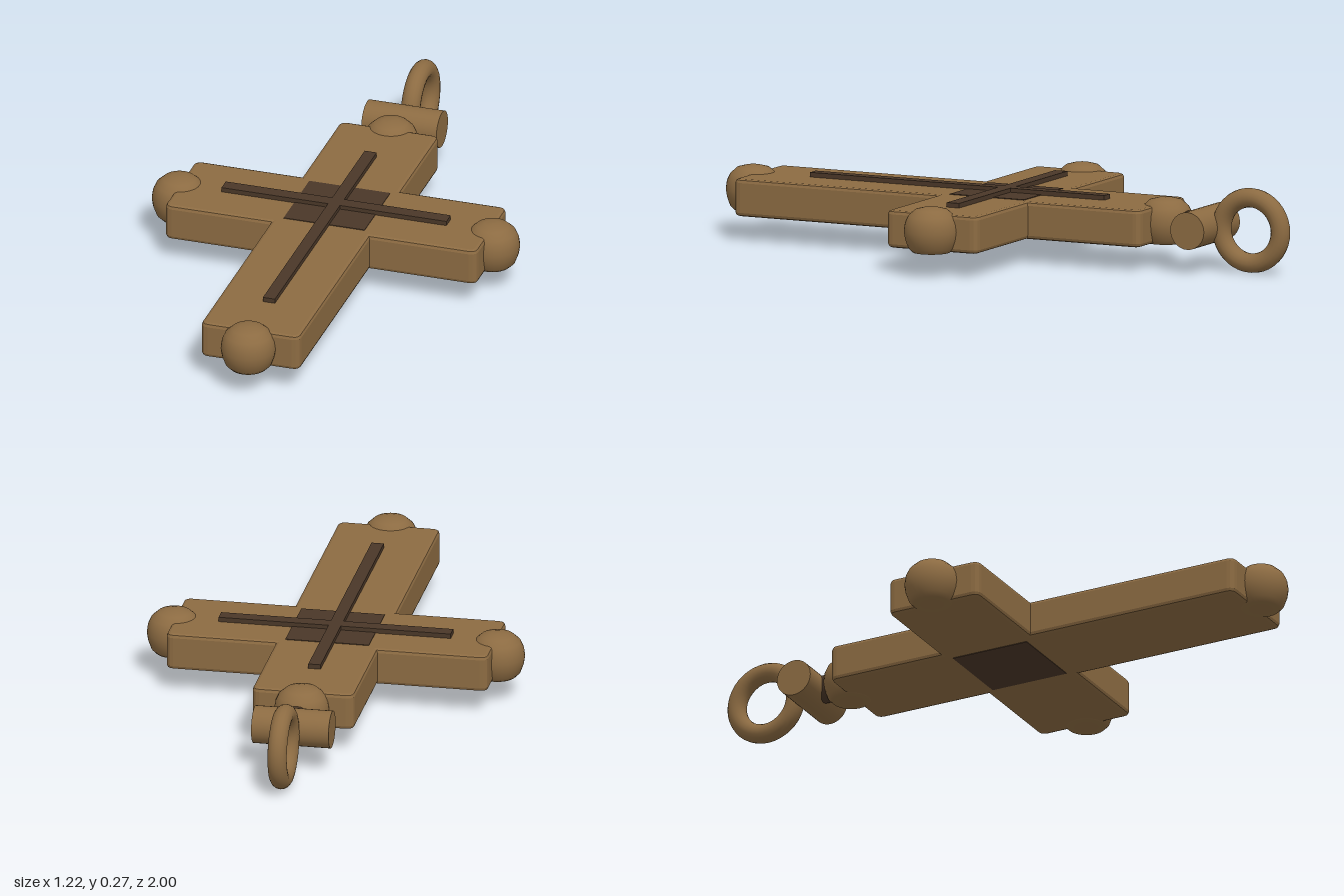
import * as THREE from 'three';

export function createModel() {
  const model = new THREE.Group();
  const bronze = new THREE.MeshStandardMaterial({ color: 0x8c6b42 });
  bronze.name = 'bronze';
  const dark = new THREE.MeshStandardMaterial({ color: 0x4a3728 });
  dark.name = 'dark bronze';

  function add(name, geometry, material, x = 0, y = 0, z = 0) {
    const mesh = new THREE.Mesh(geometry, material);
    mesh.name = name;
    mesh.position.set(x, y, z);
    model.add(mesh);
    return mesh;
  }

  // Cross-shaped body lying flat, with softened corners and bevelled rims
  const bevel = 0.012, r = 0.014;
  const hw = 0.165 - bevel, arm = 0.52 - bevel;
  const back = -0.55 + bevel, front = 0.9 - bevel;
  const armBack = -0.152 + bevel, armFront = 0.172 - bevel;
  const corners = [
    [hw, back], [hw, armBack], [arm, armBack], [arm, armFront], [hw, armFront], [hw, front],
    [-hw, front], [-hw, armFront], [-arm, armFront], [-arm, armBack], [-hw, armBack], [-hw, back],
  ].map(([x, y]) => new THREE.Vector2(x, y));
  const shape = new THREE.Shape();
  corners.forEach((c, i) => {
    const prev = corners[(i + 11) % 12], next = corners[(i + 1) % 12];
    const a = prev.clone().sub(c).setLength(r).add(c);
    const b = next.clone().sub(c).setLength(r).add(c);
    const inner = i % 3 === 1; // the four inside corners stay sharp
    if (inner) {
      shape.lineTo(c.x, c.y);
    } else {
      if (i === 0) shape.moveTo(a.x, a.y);
      else shape.lineTo(a.x, a.y);
      shape.quadraticCurveTo(c.x, c.y, b.x, b.y);
    }
  });
  shape.closePath();
  const body = new THREE.ExtrudeGeometry(shape, {
    depth: 0.12 - 2 * bevel, bevelEnabled: true, bevelSize: bevel,
    bevelThickness: bevel, bevelSegments: 2, curveSegments: 3,
  });
  body.rotateX(Math.PI / 2);
  add('crossBody', body, bronze, 0, 0.2 - bevel, 0);

  // Rounded knobs at the four ends
  const profile = [
    [0, 0.077], [0.06, 0.078], [0.074, 0.092], [0.084, 0.12], [0.088, 0.145],
    [0.084, 0.172], [0.074, 0.194], [0.052, 0.214], [0.025, 0.221], [0, 0.222],
  ].map(([x, y]) => new THREE.Vector2(x, y));
  const knob = new THREE.LatheGeometry(profile, 32);
  for (const [name, x, z] of [
    ['leftKnob', 0.522, 0.008], ['rightKnob', -0.522, 0.008],
    ['backKnob', 0, -0.56], ['frontKnob', 0, 0.912],
  ]) add(name, knob, bronze, x, 0, z);

  // Dark square at the crossing, above and below
  const square = new THREE.BoxGeometry(0.27, 0.004, 0.265);
  add('topCenterPanel', square, dark, 0.003, 0.2, 0.008);
  add('bottomCenterPanel', square, dark, 0.003, 0.08, 0.008);

  // Raised dark strips
  add('longStrip', new THREE.BoxGeometry(0.04, 0.02, 1.05), dark, 0, 0.205, 0.175);
  add('crossStrip', new THREE.BoxGeometry(0.75, 0.02, 0.044), dark, 0, 0.205, 0.007);

  // Hanger: neck, crosswise barrel and upright ring
  const neck = new THREE.CylinderGeometry(0.045, 0.045, 0.11, 20).rotateX(Math.PI / 2);
  add('neck', neck, dark, 0, 0.14, -0.62);
  const barrel = new THREE.CylinderGeometry(0.06, 0.06, 0.25, 32).rotateZ(Math.PI / 2);
  add('barrel', barrel, bronze, 0, 0.14, -0.7);
  const ring = new THREE.TorusGeometry(0.105, 0.031, 16, 40).rotateY(Math.PI / 2);
  add('ring', ring, bronze, 0, 0.137, -0.864);

  return model;
}
